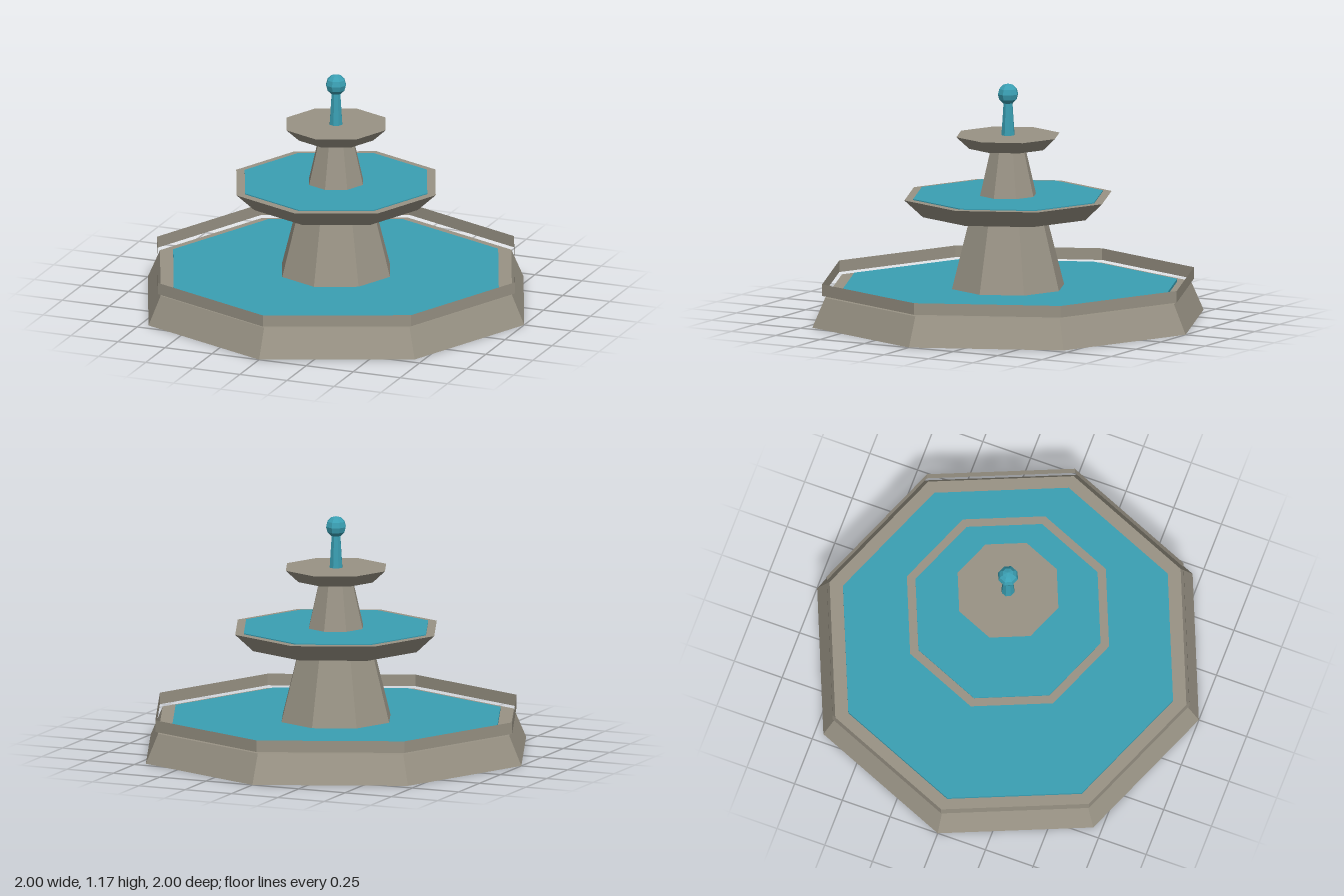
import * as THREE from 'three';

const SIDES = 8;

export function createModel() {
  const model = new THREE.Group();
  const stone = new THREE.MeshStandardMaterial({ color: 0x999385, flatShading: true });
  const thinStone = new THREE.MeshStandardMaterial({ color: 0x999385, flatShading: true, side: THREE.DoubleSide });
  const water = new THREE.MeshStandardMaterial({ color: 0x3a9fb3, flatShading: true });

  // Octagonal frustum standing between two heights
  function tier(name, rBottom, rTop, y0, y1, material, open = false) {
    const geometry = new THREE.CylinderGeometry(rTop, rBottom, y1 - y0, SIDES, 1, open);
    const mesh = new THREE.Mesh(geometry, material);
    mesh.name = name;
    mesh.position.y = (y0 + y1) / 2;
    model.add(mesh);
    return mesh;
  }

  // Ground basin: sloped base, thin upright rim, pool
  tier('basinBase', 1, 0.935, 0, 0.146, stone);
  tier('basinRim', 0.95, 0.95, 0.156, 0.214, thinStone, true);
  tier('basinWater', 0.865, 0.865, 0.14, 0.16, water);

  // Middle bowl on its column
  tier('lowerColumn', 0.288, 0.19, 0.155, 0.53, stone);
  tier('middleBowl', 0.435, 0.53, 0.525, 0.613, stone);
  tier('middleWater', 0.485, 0.485, 0.605, 0.618, water);

  // Top bowl on its column
  tier('upperColumn', 0.145, 0.086, 0.61, 0.86, stone);
  tier('topBowl', 0.198, 0.264, 0.855, 0.916, stone);

  // Water jet and its round tip
  tier('waterJet', 0.034, 0.022, 0.91, 1.09, water);
  const tip = new THREE.Mesh(new THREE.SphereGeometry(0.052, 8, 6), water);
  tip.name = 'jetTip';
  tip.position.y = 1.12;
  model.add(tip);

  // Four small spouts on the diagonal edges of the lower column
  for (let i = 0; i < 4; i++) {
    const a = Math.PI / 4 + (i * Math.PI) / 2;
    const spout = new THREE.Mesh(new THREE.CylinderGeometry(0.017, 0.017, 0.05, 6), stone);
    spout.name = 'spout' + (i + 1);
    spout.rotation.set(Math.PI / 2, a, 0, 'YXZ');
    spout.position.set(Math.sin(a) * 0.195, 0.513, Math.cos(a) * 0.195);
    model.add(spout);
  }

  return model;
}
